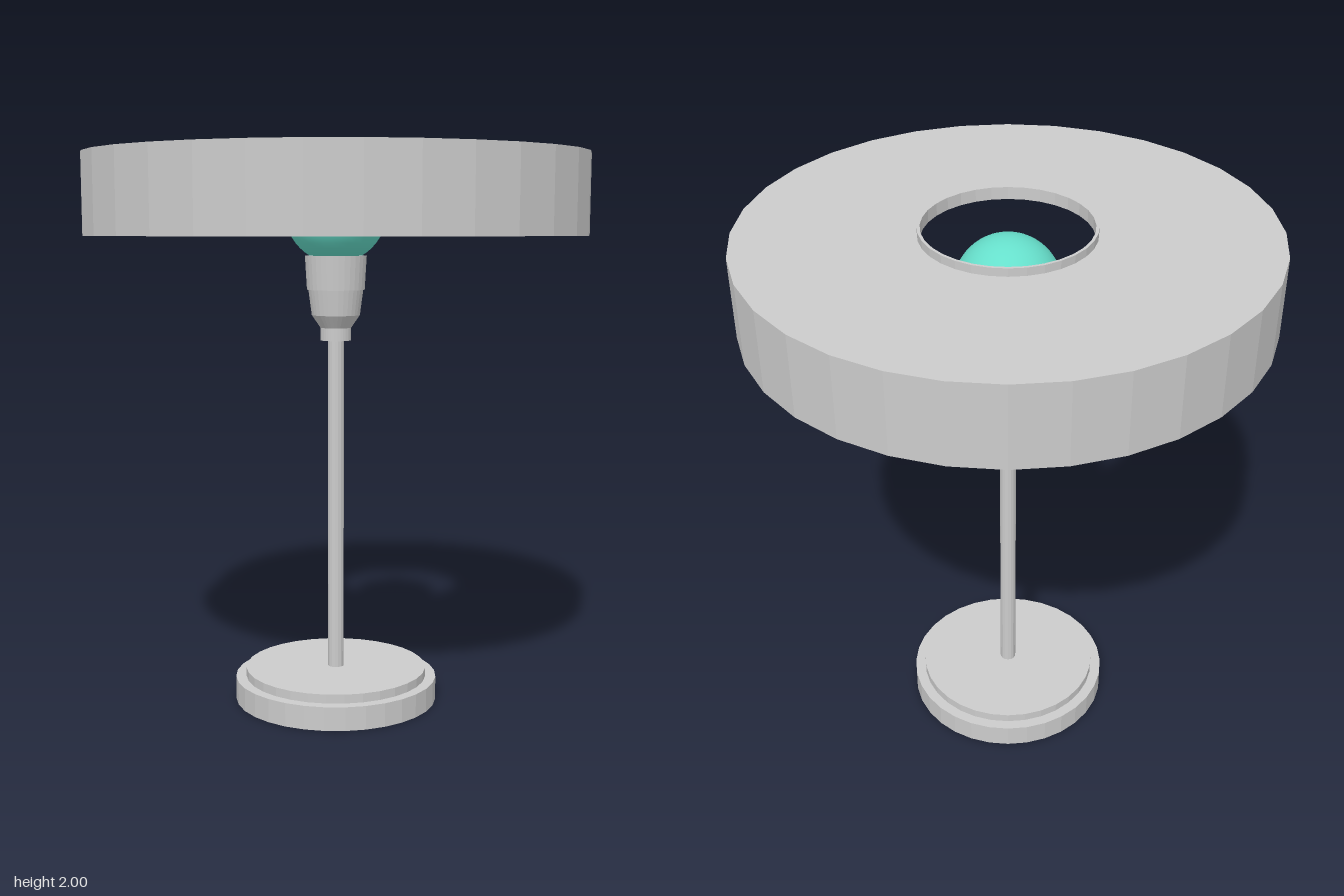
import * as THREE from 'three';

const SEGMENTS = 32;

export function createModel() {
  const lamp = new THREE.Group();
  lamp.name = 'tableLamp';
  const grey = new THREE.MeshStandardMaterial({ color: 0xcccccc, flatShading: true });
  const teal = new THREE.MeshStandardMaterial({ color: 0x66dfcb });

  // Turned part from [radius, height] pairs, outer side listed bottom to top
  const turned = (name, profile, segments = SEGMENTS) => {
    const points = profile.map(([r, y]) => new THREE.Vector2(r, y));
    const mesh = new THREE.Mesh(new THREE.LatheGeometry(points, segments), grey);
    mesh.name = name;
    lamp.add(mesh);
  };

  // Stepped round foot
  turned('base', [[0, 0], [0.368, 0], [0.368, 0.085], [0.33, 0.085], [0.33, 0.117], [0, 0.117]]);

  // Slim stem
  turned('stem', [[0, 0.1], [0.029, 0.1], [0.029, 1.34], [0, 1.34]], 16);

  // Bulb socket: narrow collar, flare and two tapered cups
  turned('socket', [
    [0, 1.32], [0.055, 1.32], [0.055, 1.365], [0.086, 1.41], [0.098, 1.5],
    [0.103, 1.5], [0.11, 1.62], [0, 1.62],
  ]);

  // Globe bulb
  const bulb = new THREE.Mesh(new THREE.SphereGeometry(0.181, 32, 24), teal);
  bulb.name = 'bulb';
  bulb.position.y = 1.775;
  lamp.add(bulb);

  // Drum shade, open below, with a central hole
  turned('shade', [
    [0.873, 1.69], [0.885, 1.69], [0.885, 1.972], [0.285, 1.972],
    [0.285, 1.957], [0.873, 1.957], [0.873, 1.69],
  ]);

  // Raised collar around the hole
  turned('shadeCollar', [
    [0.28, 1.957], [0.29, 1.957], [0.29, 2], [0.28, 2], [0.28, 1.957],
  ]);

  return lamp;
}
